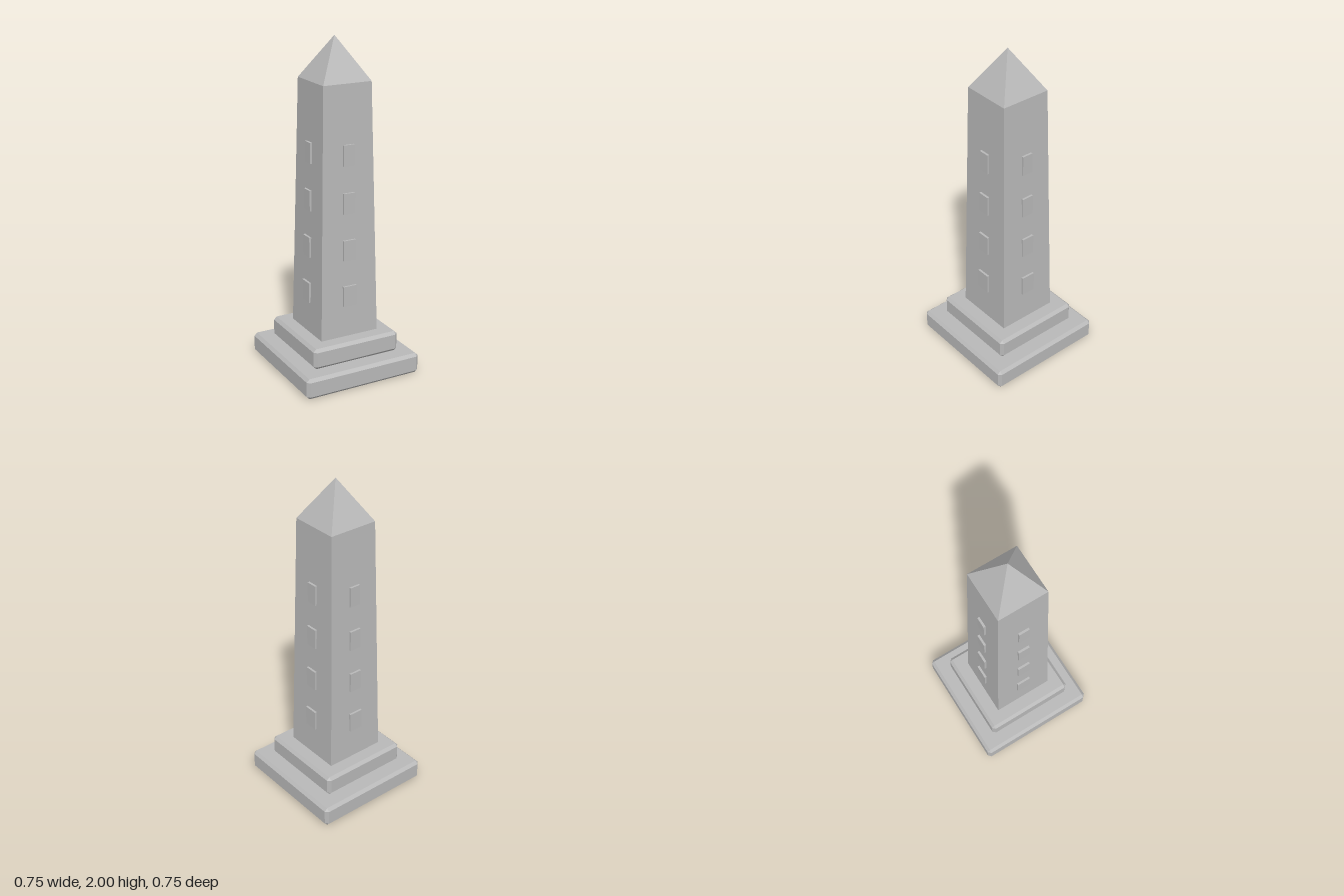
import * as THREE from 'three';
import { ConvexGeometry } from 'three/addons/geometries/ConvexGeometry.js';

const stone = new THREE.MeshStandardMaterial({ color: 0xb8b8b8 });
stone.name = 'grey stone';

const SHAFT = { y0: 0.25, y1: 1.753, r0: 0.187, r1: 0.153 };

function add(parent, name, geometry, y) {
  const mesh = new THREE.Mesh(geometry, stone);
  mesh.name = name;
  mesh.position.y = y;
  parent.add(mesh);
  return mesh;
}

// Square slab with every edge chamfered by c
function chamferedSlab(half, height, c) {
  const h = height / 2, points = [];
  for (const sx of [-1, 1]) for (const sy of [-1, 1]) for (const sz of [-1, 1]) {
    for (const [a, b, d] of [[0, c, c], [c, 0, c], [c, c, 0]]) {
      points.push(new THREE.Vector3(sx * (half - a), sy * (h - b), sz * (half - d)));
    }
  }
  return new ConvexGeometry(points);
}

// Four-sided frustum aligned to the axes, sized by half width
function squareFrustum(top, bottom, height, open = false) {
  const g = new THREE.CylinderGeometry(top * Math.SQRT2, bottom * Math.SQRT2, height, 4, 1, open);
  g.rotateY(Math.PI / 4);
  const flat = g.toNonIndexed();
  flat.computeVertexNormals();
  return flat;
}

export function createModel() {
  const model = new THREE.Group();
  model.name = 'obelisk';

  // Stepped base
  add(model, 'lowerBase', chamferedSlab(0.373, 0.126, 0.018), 0.063);
  add(model, 'upperBase', chamferedSlab(0.28, 0.126, 0.018), 0.189);

  // Tapered shaft and pointed cap
  const { y0, y1, r0, r1 } = SHAFT;
  add(model, 'shaft', squareFrustum(r1, r0, y1 - y0), (y0 + y1) / 2);
  add(model, 'cap', squareFrustum(0, r1, 2 - y1, true), (2 + y1) / 2);

  // Raised upright panels, four on each side, narrowing upwards
  const widths = [0.086, 0.078, 0.073, 0.067];
  for (let side = 0; side < 4; side++) {
    const column = new THREE.Group();
    column.name = 'panelColumn' + (side + 1);
    column.rotation.y = side * Math.PI / 2;
    widths.forEach((w, i) => {
      const y = 0.505 + i * 0.281;
      const face = r0 + (r1 - r0) * (y - y0) / (y1 - y0);
      const panel = add(column, 'panel' + (i + 1), new THREE.BoxGeometry(w, 0.123, 0.024), y);
      panel.position.z = face;
    });
    model.add(column);
  }
  return model;
}
